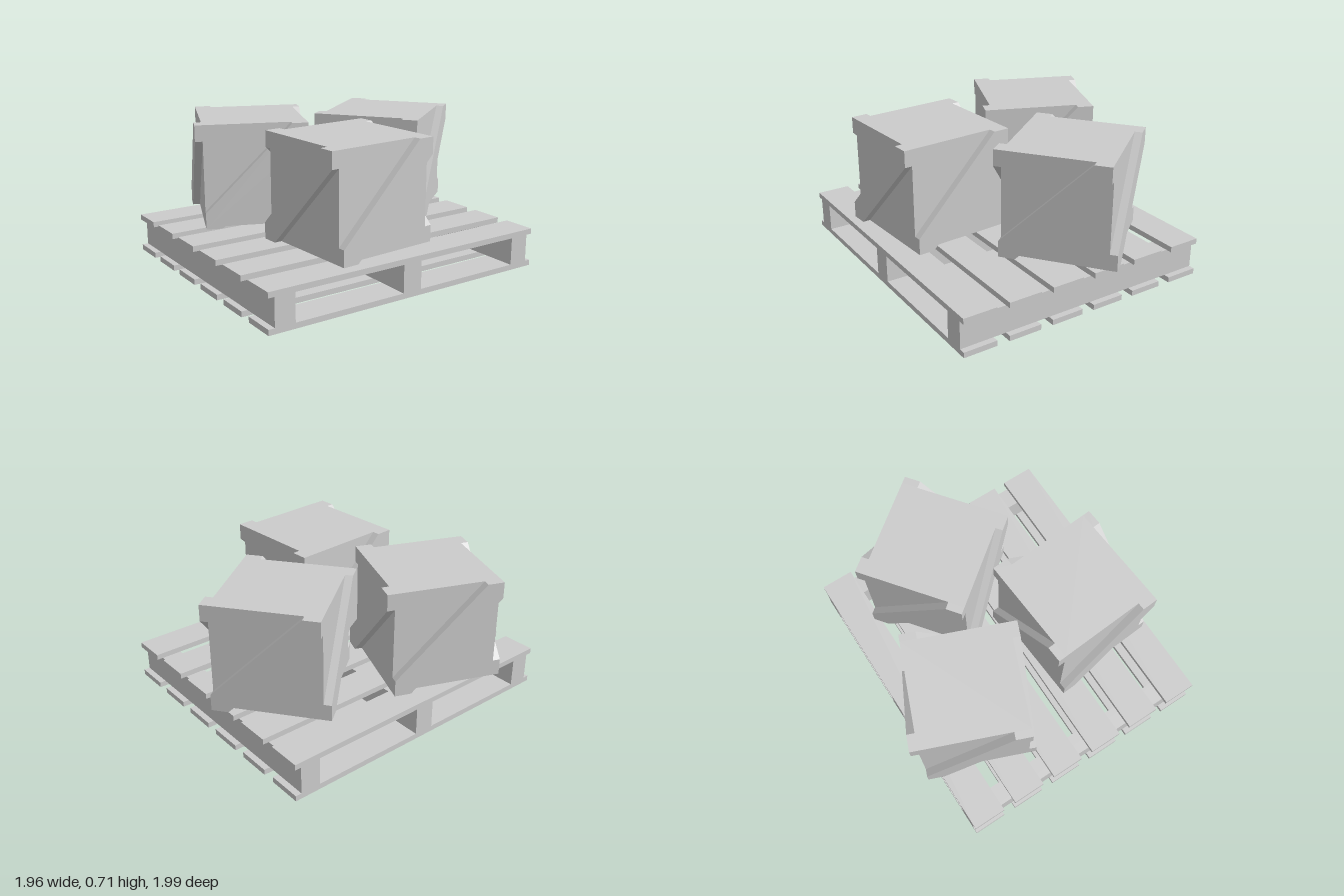
import * as THREE from 'three';

const material = new THREE.MeshStandardMaterial({ color: 0xcccccc, flatShading: true });

function box(name, w, h, d, x, y, z) {
  const mesh = new THREE.Mesh(new THREE.BoxGeometry(w, h, d), material);
  mesh.name = name;
  mesh.position.set(x, y, z);
  return mesh;
}

// Pallet: six slats above and below three runners
function createPallet() {
  const pallet = new THREE.Group();
  pallet.name = 'pallet';
  const width = 1.31, length = 1.5, slat = 0.165, thick = 0.027, top = 0.19;
  for (let i = 0; i < 6; i++) {
    const x = -width / 2 + slat / 2 + (i * (width - slat)) / 5;
    pallet.add(box('topSlat', slat, thick, length, x, top - thick / 2, 0));
    pallet.add(box('bottomSlat', slat, thick, length, x, thick / 2, 0));
  }
  for (const z of [-0.67, 0, 0.67]) {
    pallet.add(box('runner', width, top - 2 * thick, 0.1, 0, top / 2, z));
  }
  return pallet;
}

// Crate: a cube with one diagonal brace on each of its four sides
const size = 0.51, half = size / 2, cut = 0.08, braceDepth = 0.037;

function createCrate(x, z, angle) {
  const crate = new THREE.Group();
  crate.name = 'crate';
  crate.add(box('crateBody', size, size, size, 0, 0, 0));

  // Brace outline runs from lower left to upper right, trimmed to the corners
  const outline = new THREE.Shape([
    [-half, -half], [-half + cut, -half], [half, half - cut],
    [half, half], [half - cut, half], [-half, -half + cut],
  ].map(([px, py]) => new THREE.Vector2(px, py)));
  const braceGeometry = new THREE.ExtrudeGeometry(outline, { depth: braceDepth, bevelEnabled: false });
  braceGeometry.translate(0, 0, half);

  for (let i = 0; i < 4; i++) {
    const brace = new THREE.Mesh(braceGeometry, material);
    brace.name = 'diagonalBrace';
    brace.rotation.y = (i * Math.PI) / 2;
    crate.add(brace);
  }
  crate.position.set(x, 0.2 + half, z);
  crate.rotation.y = angle;
  return crate;
}

export function createModel() {
  const model = new THREE.Group();
  model.name = 'loadedPallet';
  const pallet = createPallet();
  pallet.rotation.y = -0.677;
  model.add(pallet);
  model.add(createCrate(-0.45, -0.04, 0.51));
  model.add(createCrate(0.17, 0.29, -0.61));
  model.add(createCrate(0.16, -0.41, -0.02));
  return model;
}
